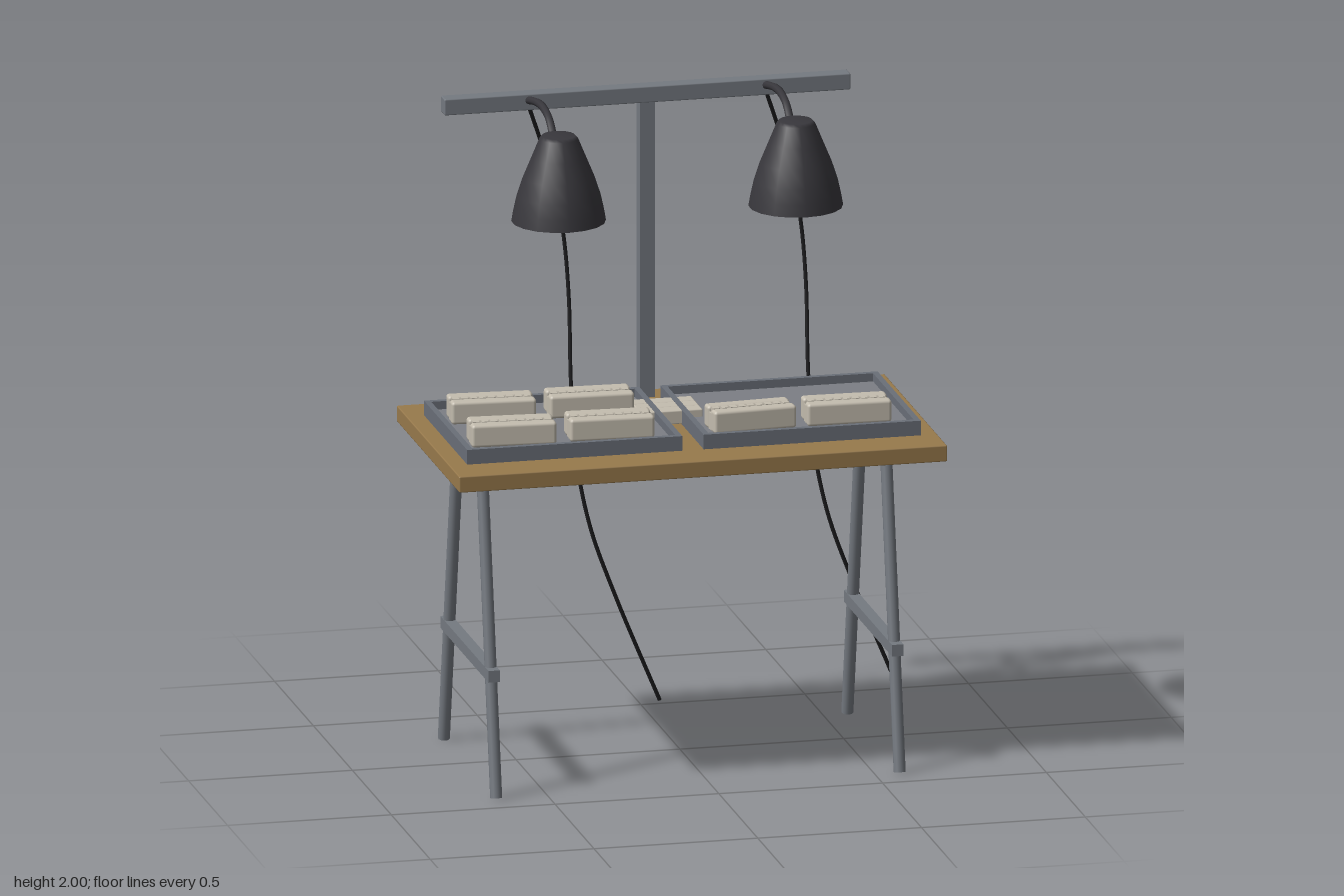
import * as THREE from 'three';
import { RoundedBoxGeometry } from 'three/addons/geometries/RoundedBoxGeometry.js';

const mat = (name, color, side = THREE.FrontSide) => {
  const m = new THREE.MeshStandardMaterial({ color, side });
  m.name = name;
  return m;
};

export function createModel() {
  const wood = mat('wood', 0x987a4c);
  const steel = mat('steel', 0x757a81);
  const trayGrey = mat('trayGrey', 0x6a6f78);
  const trayFloor = mat('trayFloor', 0x7c7f85);
  const black = mat('lampBlack', 0x38373c, THREE.DoubleSide);
  const rubber = mat('cableBlack', 0x1e1e20);
  const cream = mat('cream', 0xc4bdaf);

  const model = new THREE.Group();
  model.name = 'workTable';
  const add = (parent, name, geo, material, x = 0, y = 0, z = 0) => {
    const m = new THREE.Mesh(geo, material);
    m.name = name;
    m.position.set(x, y, z);
    parent.add(m);
    return m;
  };
  const box = (parent, name, material, w, h, d, x, y, z) =>
    add(parent, name, new THREE.BoxGeometry(w, h, d), material, x, y, z);
  const rod = (name, a, b, r, material) => {
    const dir = b.clone().sub(a);
    const m = add(model, name, new THREE.CylinderGeometry(r, r, dir.length(), 10), material);
    m.position.copy(a).add(b).multiplyScalar(0.5);
    m.quaternion.setFromUnitVectors(new THREE.Vector3(0, 1, 0), dir.normalize());
  };
  const tube = (parent, name, pts, r, material, segs) => {
    const curve = new THREE.CatmullRomCurve3(pts.map((p) => new THREE.Vector3(...p)));
    add(parent, name, new THREE.TubeGeometry(curve, segs, r, 8), material);
  };

  // Table top
  add(model, 'tableTop', new RoundedBoxGeometry(1.49, 0.05, 0.805, 1, 0.004), wood, -0.04, 0.995, 0.067);

  // Trestles: two splayed legs and a cross bar at each end
  for (const x of [-0.657, 0.575]) {
    for (const [foot, top] of [[0.404, 0.222], [-0.268, -0.086]])
      rod('trestleLeg', new THREE.Vector3(x, 0.003, foot), new THREE.Vector3(x, 0.975, top), 0.018, steel);
    box(model, 'trestleBar', steel, 0.035, 0.036, 0.62, x, 0.371, 0.07);
  }

  // Lamp stand
  box(model, 'standPost', steel, 0.045, 0.93, 0.045, -0.04, 1.475, -0.27);
  add(model, 'standBar', new RoundedBoxGeometry(1.24, 0.05, 0.05, 1, 0.004), steel, -0.04, 1.955, -0.27);

  // Trays: floor plate with four rim walls
  for (const [x0, x1] of [[-0.731, -0.074], [-0.009, 0.654]]) {
    const tray = new THREE.Group();
    tray.name = 'tray';
    model.add(tray);
    const w = x1 - x0, d = 0.555, t = 0.018;
    const cx = (x0 + x1) / 2, cz = 0.066;
    box(tray, 'trayFloor', trayFloor, w - t, 0.02, d - t, cx, 1.03, cz);
    for (const s of [-1, 1]) {
      box(tray, 'trayLongRim', trayGrey, w, 0.045, t, cx, 1.0425, cz + s * (d - t) / 2);
      box(tray, 'traySideRim', trayGrey, t, 0.045, d - 2 * t, cx + s * (w - t) / 2, 1.0425, cz);
    }
  }

  // Cream blocks: two rounded halves joined by a toothed centre strip
  const halfGeo = new RoundedBoxGeometry(0.256, 0.07, 0.042, 2, 0.01);
  const block = (x, z, turn) => {
    const g = new THREE.Group();
    g.name = 'creamBlock';
    g.position.set(x, 1.073, z);
    g.rotation.y = turn;
    model.add(g);
    for (const s of [-1, 1]) add(g, 'blockHalf', halfGeo, cream, 0, 0, s * 0.034);
    box(g, 'blockCore', cream, 0.25, 0.054, 0.03, 0, -0.008, 0);
    for (let i = 0; i < 9; i++)
      box(g, 'blockTooth', cream, 0.02, 0.02, 0.024, (i - 4) * 0.027, 0.024, 0);
  };
  block(-0.56, -0.067, -0.07);
  block(-0.262, -0.066, -0.04);
  block(-0.56, 0.193, -0.07);
  block(-0.262, 0.196, -0.05);
  block(0.168, 0.198, 0.07);
  block(0.462, 0.192, -0.03);

  // Low block lying between the trays
  const bridge = new THREE.Group();
  bridge.name = 'bridgeBlock';
  model.add(bridge);
  for (const z of [-0.062, -0.0115, 0.039])
    add(bridge, 'bridgeSlat', new RoundedBoxGeometry(0.19, 0.042, 0.0495, 1, 0.004), cream, -0.04, 1.0425, z);

  // Lamps: shade, bent arm and trailing cable
  const profile = [[0.001, 1.957], [0.05, 1.957], [0.058, 1.948], [0.082, 1.89], [0.107, 1.83],
    [0.125, 1.775], [0.135, 1.73], [0.141, 1.695]].reverse().map(([r, y]) => new THREE.Vector2(r, y));
  for (const x of [-0.402, 0.322]) {
    const lamp = new THREE.Group();
    lamp.name = 'lamp';
    lamp.position.x = x;
    model.add(lamp);
    add(lamp, 'lampShade', new THREE.LatheGeometry(profile, 18), black, 0, 0, 0.133);
    tube(lamp, 'lampArm', [[0, 1.955, -0.27], [0, 1.972, -0.2], [0, 1.986, -0.12], [0, 1.988, -0.05],
      [0, 1.972, 0.015], [0, 1.935, 0.062], [0, 1.9, 0.085]], 0.012, black, 32);
    tube(lamp, 'lampCable', [[0, 1.95, -0.27], [0.05, 1.82, -0.318], [0.1, 1.68, -0.365], [0.14, 1.5, -0.396],
      [0.157, 1.3, -0.396], [0.157, 1.05, -0.37], [0.168, 0.83, -0.357], [0.215, 0.6, -0.37],
      [0.3, 0.37, -0.4], [0.45, 0.022, -0.463]], 0.006, rubber, 64);
  }
  return model;
}
